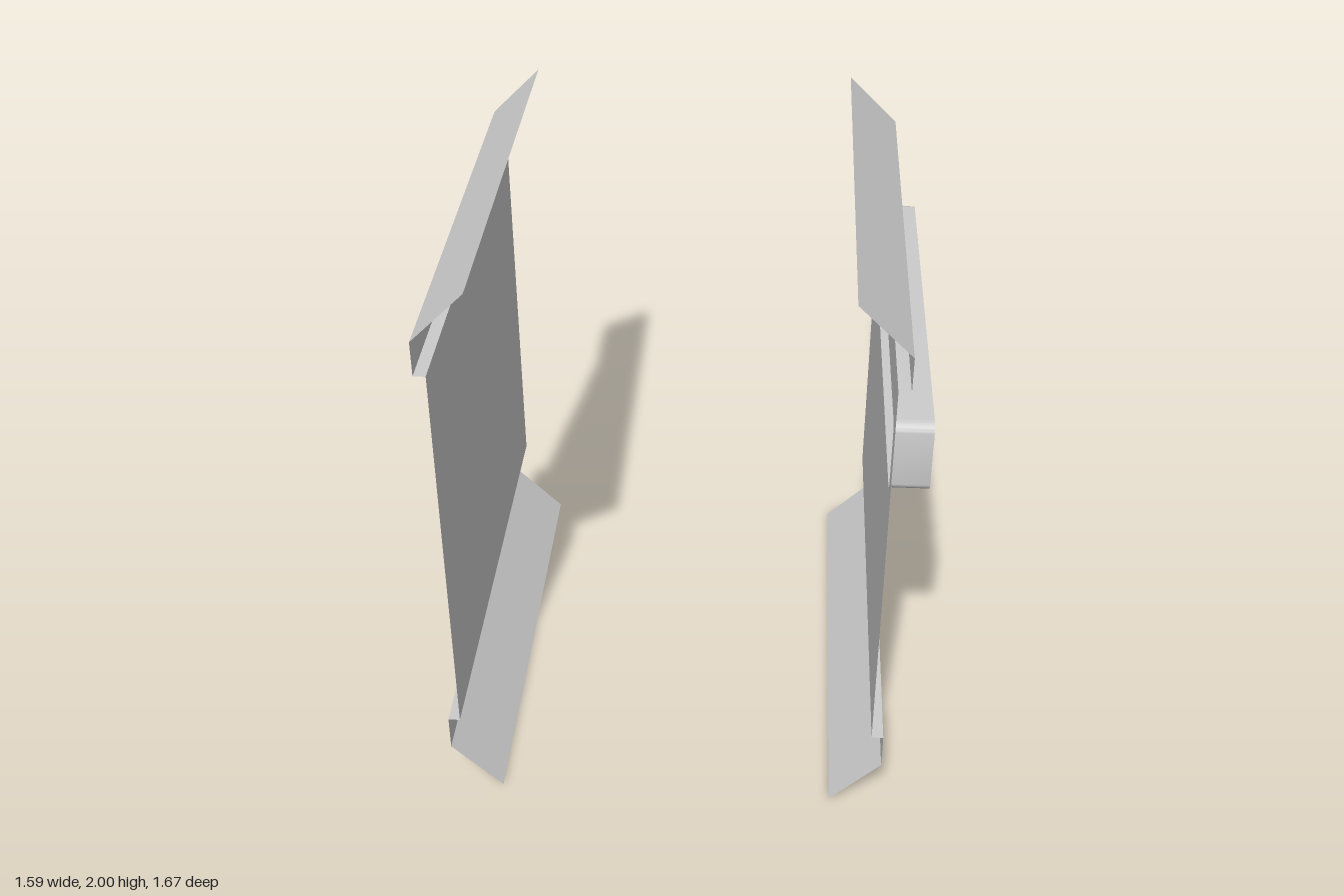
import * as THREE from 'three';
import { toCreasedNormals } from 'three/addons/utils/BufferGeometryUtils.js';

const HALF_Z = 0.833;      // half length of both panels
const STEP = 0.04;         // main sheet is set in from the side bands
const LIP = 0.174;         // inward run of the sloped flanges
const LOW = 0.302, HIGH = 1.708;
const material = new THREE.MeshStandardMaterial({ color: 0xcccccc, side: THREE.DoubleSide });

function add(parent, name, geometry) {
  const mesh = new THREE.Mesh(geometry, material);
  mesh.name = name;
  parent.add(mesh);
}

// Sheet swept along z from a folded [x, y] line, flat shaded
function foldedSheet(line) {
  const pos = [];
  for (let i = 0; i + 1 < line.length; i++) {
    const [a, b] = [line[i], line[i + 1]];
    const p = [[...a, HALF_Z], [...a, -HALF_Z], [...b, -HALF_Z], [...b, HALF_Z]];
    for (const k of [0, 1, 2, 0, 2, 3]) pos.push(...p[k]);
  }
  const g = new THREE.BufferGeometry();
  g.setAttribute('position', new THREE.Float32BufferAttribute(pos, 3));
  g.computeVertexNormals();
  return g;
}

// Rounded rectangle; shape x becomes the model's z
function roundedRect(Type, hw, y0, y1, r) {
  const s = new Type();
  s.moveTo(-hw + r, y0);
  s.lineTo(hw - r, y0);
  s.absarc(hw - r, y0 + r, r, -Math.PI / 2, 0);
  s.lineTo(hw, y1 - r);
  s.absarc(hw - r, y1 - r, r, 0, Math.PI / 2);
  s.lineTo(-hw + r, y1);
  s.absarc(-hw + r, y1 - r, r, Math.PI / 2, Math.PI);
  s.lineTo(-hw, y0 + r);
  s.absarc(-hw + r, y0 + r, r, Math.PI, Math.PI * 1.5);
  return s;
}

// Flat shape standing in the plane x
const standing = (shape, x) => new THREE.ShapeGeometry(shape, 8).rotateY(Math.PI / 2).translate(x, 0, 0);

// Open wall following an outline between two x planes
function outlineWall(points, x0, x1) {
  const pos = [], index = [], n = points.length;
  for (const p of points) pos.push(x0, p.y, -p.x, x1, p.y, -p.x);
  for (let i = 0; i < n; i++) {
    const a = 2 * i, b = 2 * ((i + 1) % n);
    index.push(a, b, a + 1, b, b + 1, a + 1);
  }
  const g = new THREE.BufferGeometry();
  g.setAttribute('position', new THREE.Float32BufferAttribute(pos, 3));
  g.setIndex(index);
  return toCreasedNormals(g, 0.6);
}

// Folded side panel; side is +1 or -1, bandX the distance of its outer bands
function sidePanel(name, side, bandX, pocketX) {
  const panel = new THREE.Group();
  panel.name = name;
  const out = side * bandX, main = side * (bandX - STEP), tip = side * (bandX - LIP);

  // Flange, band and ledge at each end
  add(panel, 'lowerFlange', foldedSheet([[tip, 0], [out, 0.174], [out, LOW], [main, LOW]]));
  add(panel, 'upperFlange', foldedSheet([[main, HIGH], [out, HIGH], [out, 1.828], [tip, 2]]));

  // Main sheet, cut open where the pocket starts
  const sheet = new THREE.Shape();
  sheet.moveTo(-HALF_Z, LOW).lineTo(HALF_Z, LOW).lineTo(HALF_Z, HIGH).lineTo(-HALF_Z, HIGH).closePath();
  if (pocketX) {
    const rect = [0.752, 1.284, 1.535, 0.035];
    const outline = roundedRect(THREE.Shape, ...rect);
    sheet.holes.push(roundedRect(THREE.Path, ...rect));
    const points = outline.getPoints(8).filter((p, i, all) => i === 0 ||
      (p.distanceTo(all[i - 1]) > 1e-5 && p.distanceTo(all[0]) > 1e-5));
    add(panel, 'pocketWall', outlineWall(points, main, pocketX));
    add(panel, 'pocketFace', standing(outline, pocketX));
  }
  add(panel, 'mainSheet', standing(sheet, main));
  return panel;
}

export function createModel() {
  const model = new THREE.Group();
  model.name = 'sidePanels';
  model.add(sidePanel('leftPanel', 1, 0.706, 0.793));
  model.add(sidePanel('rightPanel', -1, 0.793));
  return model;
}
